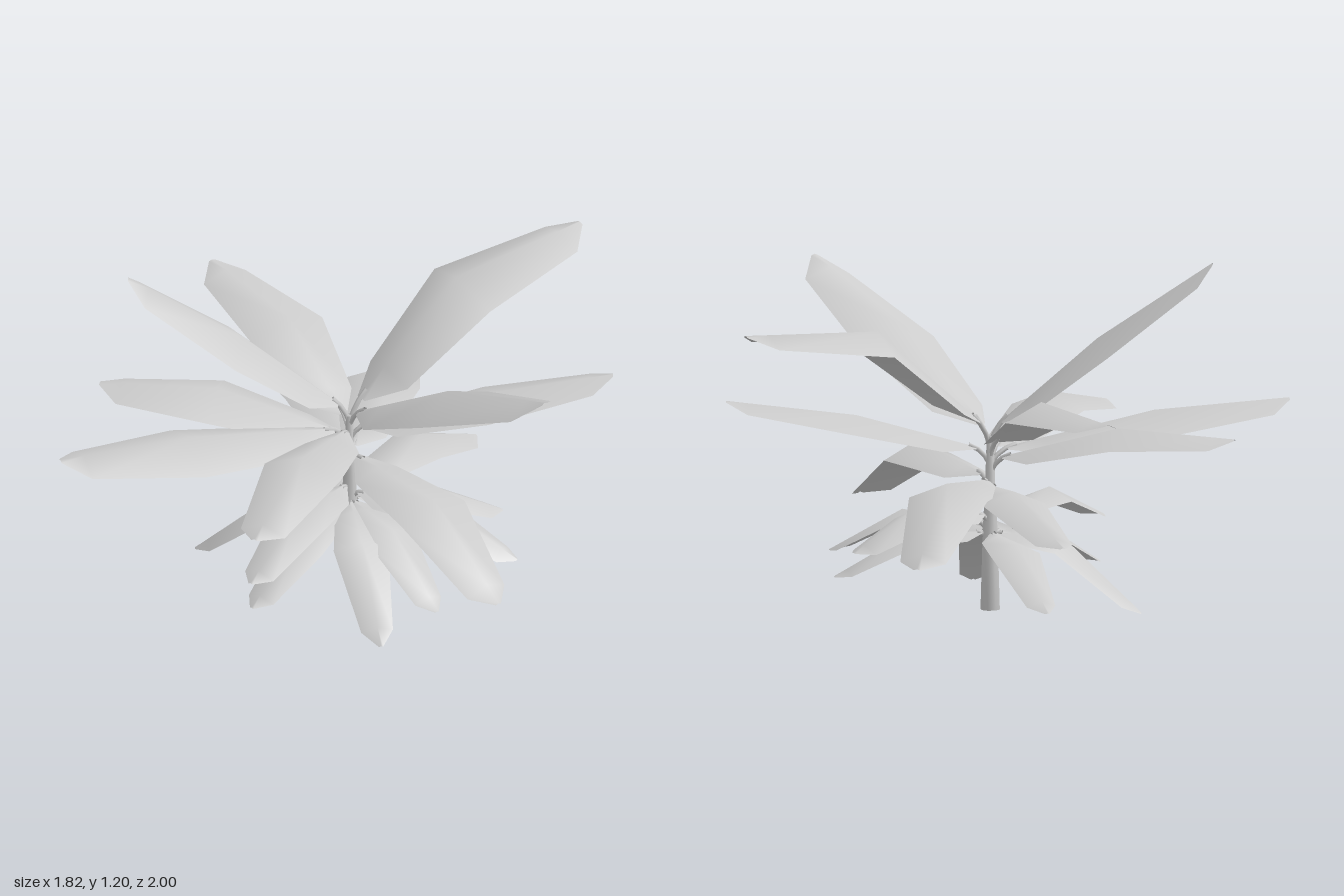
import * as THREE from 'three';

const material = new THREE.MeshStandardMaterial({ color: 0xcccccc, side: THREE.DoubleSide });
const AXIS = [-0.055, -0.04]; // x, z of the stem
const UP = new THREE.Vector3(0, 1, 0);

// Each leaf: height on the stem, middle of the midrib, tip, half width
const TOP_LEAVES = [
  [0.62, [-0.035, 1.0, -0.48], [-0.02, 1.03, -1.0], 0.165],
  [0.61, [0.42, 0.92, -0.1], [0.9, 1.1, -0.15], 0.165],
  [0.62, [-0.25, 0.94, 0.27], [-0.46, 1.2, 0.6], 0.14],
];
const MIDDLE_LEAVES = [
  [0.55, [-0.2, 0.66, 0.53], [-0.33, 0.68, 0.99], 0.16],
  [0.57, [-0.45, 0.78, -0.08], [-0.91, 0.77, -0.1], 0.145],
  [0.55, [0.2, 0.67, -0.42], [0.43, 0.72, -0.8], 0.12],
  [0.55, [0.17, 0.69, 0.33], [0.37, 0.6, 0.69], 0.14],
  [0.52, [-0.4, 0.65, 0.26], [-0.7, 0.63, 0.54], 0.14],
  [0.46, [0.44, 0.51, -0.03], [0.8, 0.28, -0.03], 0.135],
  [0.45, [-0.34, 0.51, -0.39], [-0.61, 0.28, -0.68], 0.14],
  [0.43, [-0.45, 0.48, -0.19], [-0.91, 0.36, -0.28], 0.11],
];
const LOWER_LEAVES = [
  [0.33, [0.06, 0.38, 0.27], [0.15, 0.25, 0.54], 0.1],
  [0.33, [-0.09, 0.38, -0.37], [-0.12, 0.26, -0.63], 0.11],
  [0.3, [0.24, 0.32, -0.21], [0.47, 0.16, -0.36], 0.09],
  [0.27, [0.2, 0.27, 0.1], [0.44, 0.01, 0.2], 0.095],
  [0.27, [-0.24, 0.25, 0.15], [-0.44, 0.01, 0.33], 0.09],
  [0.27, [-0.29, 0.26, -0.08], [-0.57, 0.07, -0.13], 0.09],
  [0.27, [0.22, 0.28, -0.02], [0.48, 0.09, -0.01], 0.09],
  [0.27, [0.06, 0.27, -0.3], [0.15, 0.13, -0.54], 0.09],
  [0.27, [0.03, 0.25, 0.24], [0.09, 0.1, 0.49], 0.09],
];

// Stations along the blade: [segment (0 base-mid, 1 mid-tip), position, width share]
const STATIONS = [[0, 0.1, 0.12], [0, 0.33, 0.66], [0, 1, 1], [1, 0.82, 0.58], [1, 1, 0.08]];

// Roof-shaped blade: three points per station, edges dropping from the midrib
function blade(base, mid, tip, halfWidth) {
  const direction = tip.clone().sub(base).normalize();
  const side = direction.clone().cross(UP).normalize();
  const normal = side.clone().cross(direction);
  const positions = [], index = [];
  STATIONS.forEach(([segment, t, share], row) => {
    const centre = segment ? mid.clone().lerp(tip, t) : base.clone().lerp(mid, t);
    const w = halfWidth * share;
    for (const s of [-1, 0, 1]) {
      const p = centre.clone().addScaledVector(side, s * w);
      p.addScaledVector(normal, -Math.abs(s) * w * 0.42);
      positions.push(p.x, p.y, p.z);
    }
    if (row === 0) return;
    for (let j = 0; j < 2; j++) {
      const a = (row - 1) * 3 + j, c = row * 3 + j;
      index.push(a, a + 1, c, a + 1, c + 1, c);
    }
  });
  const geometry = new THREE.BufferGeometry();
  geometry.setAttribute('position', new THREE.Float32BufferAttribute(positions, 3));
  geometry.setIndex(index);
  geometry.computeVertexNormals();
  return geometry;
}

function leaf(name, [height, midPoint, tipPoint, halfWidth]) {
  const group = new THREE.Group();
  group.name = name;
  const mid = new THREE.Vector3(...midPoint), tip = new THREE.Vector3(...tipPoint);
  const base = new THREE.Vector3(AXIS[0], height, AXIS[1]);

  const bladeMesh = new THREE.Mesh(blade(base, mid, tip, halfWidth), material);
  bladeMesh.name = 'leafBlade';

  // Short stalk joining the blade to the stem
  const root = base.clone().setY(height - 0.05);
  const joint = base.clone().lerp(mid, 0.16);
  const path = new THREE.QuadraticBezierCurve3(root, base.clone().lerp(joint, 0.3), joint);
  const stalk = new THREE.Mesh(new THREE.TubeGeometry(path, 3, 0.009, 5), material);
  stalk.name = 'leafStalk';
  group.add(bladeMesh, stalk);
  return group;
}

export function createModel() {
  const model = new THREE.Group();
  model.name = 'leafyPlant';

  // Tapering stem
  const profile = [[0, 0], [0.034, 0], [0.026, 0.27], [0.018, 0.43], [0.012, 0.6], [0, 0.6]];
  const stem = new THREE.Mesh(
    new THREE.LatheGeometry(profile.map(([r, y]) => new THREE.Vector2(r, y)), 8), material);
  stem.name = 'stem';
  stem.position.set(AXIS[0], 0, AXIS[1]);
  model.add(stem);

  // Three tiers of leaves
  const tiers = { topLeaf: TOP_LEAVES, middleLeaf: MIDDLE_LEAVES, lowerLeaf: LOWER_LEAVES };
  for (const [name, leaves] of Object.entries(tiers)) {
    leaves.forEach((spec, i) => model.add(leaf(name + (i + 1), spec)));
  }
  return model;
}
